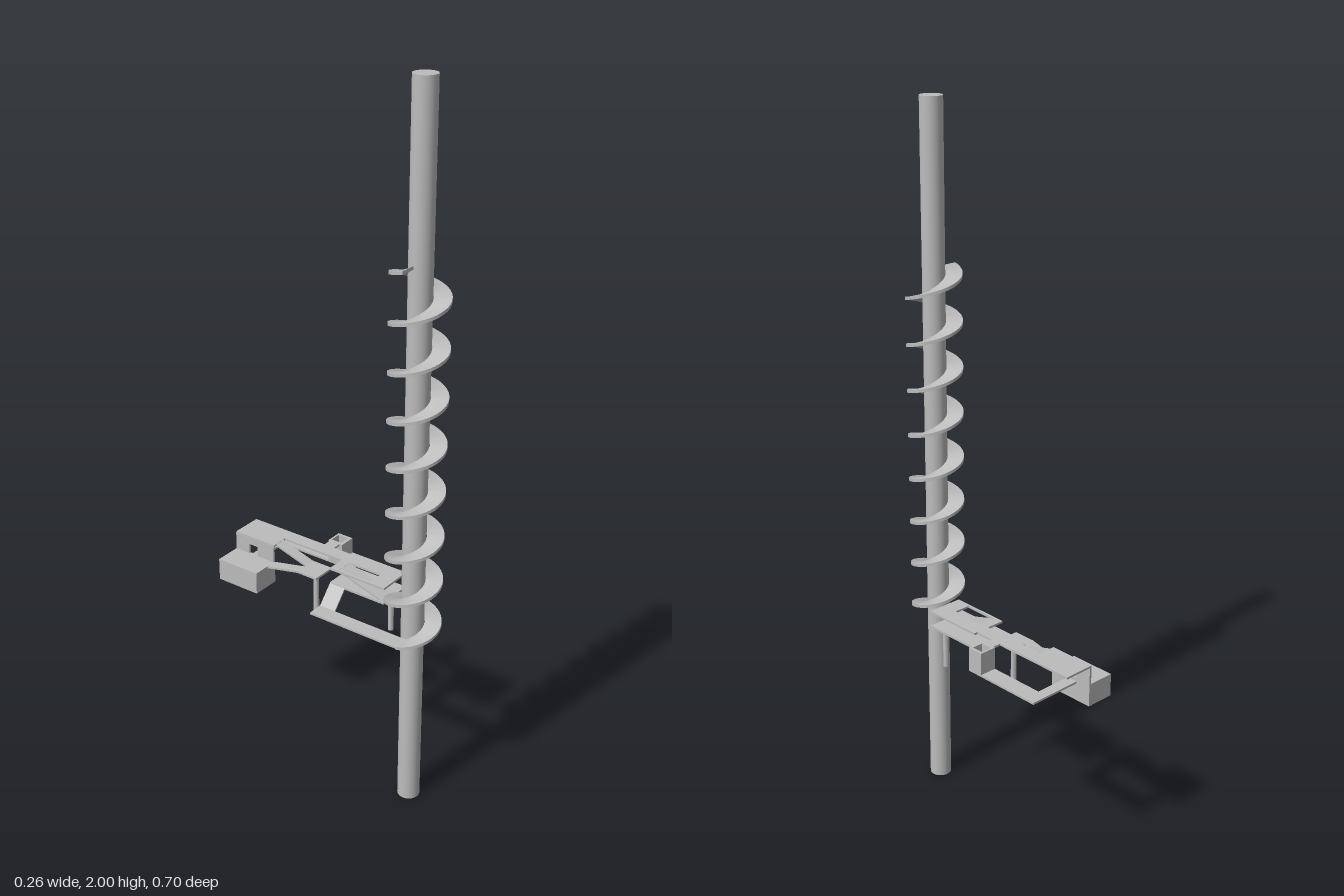
import * as THREE from 'three';
import { toCreasedNormals } from 'three/addons/utils/BufferGeometryUtils.js';

const T = 0.006; // slab thickness

export function createModel() {
  const model = new THREE.Group();
  model.name = 'spiralTower';
  const grey = new THREE.MeshStandardMaterial({ color: 0xbcbcbc });
  grey.name = 'concrete grey';

  const add = (name, geometry) => {
    const mesh = new THREE.Mesh(geometry, grey);
    mesh.name = name;
    model.add(mesh);
    return mesh;
  };

  const box = (name, x0, x1, y0, y1, z0, z1) => {
    const g = new THREE.BoxGeometry(x1 - x0, y1 - y0, z1 - z0);
    g.translate((x0 + x1) / 2, (y0 + y1) / 2, (z0 + z1) / 2);
    return add(name, g);
  };

  // Slab whose top surface lies at height y
  const slab = (name, x0, x1, z0, z1, y) => box(name, x0, x1, y - T, y, z0, z1);

  // Sheared slab: top goes from ya to yb along the chosen axis
  const ramp = (name, x0, x1, z0, z1, ya, yb, axis) => {
    const g = new THREE.BoxGeometry(x1 - x0, T, z1 - z0);
    g.translate((x0 + x1) / 2, -T / 2, (z0 + z1) / 2);
    const p = g.attributes.position;
    for (let i = 0; i < p.count; i++) {
      const f = axis === 'x' ? (p.getX(i) - x0) / (x1 - x0) : (p.getZ(i) - z0) / (z1 - z0);
      p.setY(i, p.getY(i) + ya + (yb - ya) * f);
    }
    g.computeVertexNormals();
    return add(name, g);
  };

  // Rectangle outline as a Shape or Path
  const rect = (Type, a0, a1, b0, b1) => {
    const s = new Type();
    s.moveTo(a0, b0);
    s.lineTo(a1, b0);
    s.lineTo(a1, b1);
    s.lineTo(a0, b1);
    s.closePath();
    return s;
  };

  // Horizontal frame with a rectangular opening; arrays are [x0, x1, z0, z1]
  const frame = (name, o, h, y0, y1) => {
    const s = rect(THREE.Shape, o[0], o[1], -o[3], -o[2]);
    s.holes.push(rect(THREE.Path, h[0], h[1], -h[3], -h[2]));
    const g = new THREE.ExtrudeGeometry(s, { depth: y1 - y0, bevelEnabled: false });
    g.rotateX(-Math.PI / 2).translate(0, y0, 0);
    return add(name, g);
  };

  // Central pole
  const cx = -0.053, cz = 0.272;
  add('pole', new THREE.CylinderGeometry(0.031, 0.031, 2, 32).translate(cx, 1, cz));

  // Spiral walkway: a rectangular section swept up around the pole
  const turns = 8, perTurn = 40, n = turns * perTurn, y0 = 0.514, rise = 1.034;
  const section = [[0.032, 0], [0.077, 0], [0.077, 0.009], [0.032, 0.009]];
  const pos = [], idx = [];
  for (let i = 0; i <= n; i++) {
    const t = (i / perTurn) * Math.PI * 2;
    for (const [r, h] of section) {
      pos.push(cx - r * Math.cos(t), y0 + (rise * i) / n + h, cz + r * Math.sin(t));
    }
    if (i === n) continue;
    for (let k = 0; k < 4; k++) {
      const a = i * 4 + k, b = i * 4 + ((k + 1) % 4);
      idx.push(a, a + 4, b, b, a + 4, b + 4);
    }
  }
  const e = n * 4;
  idx.push(0, 1, 2, 0, 2, 3, e, e + 2, e + 1, e, e + 3, e + 2);
  const spiral = new THREE.BufferGeometry();
  spiral.setAttribute('position', new THREE.Float32BufferAttribute(pos, 3));
  spiral.setIndex(idx);
  spiral.computeVertexNormals();
  add('spiralWalkway', toCreasedNormals(spiral, 0.6));

  // Entry path from the foot of the spiral, then a ramp up to the lower deck
  slab('entryPath', -0.13, -0.085, -0.01, 0.272, 0.523);
  ramp('entryRamp', -0.085, -0.038, -0.01, 0.04, 0.523, 0.575, 'x');

  // Lower deck, ramp through the stairwell, upper deck
  slab('lowerDeck', -0.04, 0.065, -0.01, 0.17, 0.575);
  ramp('deckRamp', -0.035, 0.015, 0.015, 0.165, 0.62, 0.575, 'z');
  frame('upperDeck', [-0.04, 0.065, -0.01, 0.17], [-0.033, 0.015, 0.016, 0.121], 0.62 - T, 0.62);

  // Long bridge and rear deck
  slab('bridge', 0.015, 0.055, -0.21, -0.01, 0.62);
  slab('rearDeck', -0.035, 0.055, -0.348, -0.21, 0.62);

  // Rear wall with a doorway, and the block behind it
  const wall = rect(THREE.Shape, 0.212, 0.348, 0.5, 0.616);
  wall.holes.push(rect(THREE.Path, 0.27, 0.3, 0.565, 0.595));
  const wallGeometry = new THREE.ExtrudeGeometry(wall, { depth: T, bevelEnabled: false });
  wallGeometry.rotateY(Math.PI / 2).translate(-0.036, 0, 0);
  add('rearWall', wallGeometry);
  box('rearBlock', -0.113, -0.034, 0.5, 0.565, -0.348, -0.212);

  // Side walkway, its links and the hollow shaft
  slab('sideWalkway', 0.08, 0.13, -0.302, -0.058, 0.556);
  slab('doorLink', -0.032, 0.08, -0.302, -0.27, 0.556);
  slab('shaftLink', 0.055, 0.08, -0.1, -0.067, 0.62);
  frame('shaft', [0.08, 0.13, -0.106, -0.058], [0.089, 0.122, -0.1, -0.066], 0.55, 0.62);

  // Middle landing with one ramp down to the block and one up to the rear deck
  slab('middleLanding', -0.064, 0.007, -0.105, -0.039, 0.588);
  ramp('rampDown', -0.064, -0.032, -0.213, -0.105, 0.565, 0.588, 'z');
  ramp('rampUp', -0.025, 0.007, -0.213, -0.105, 0.62, 0.588, 'z');

  // Posts with flared heads
  const post = (name, x, z, bottom, top) => {
    const profile = [[0, bottom], [0.008, bottom], [0.008, top - 0.018], [0.022, top - 0.004], [0.022, top], [0, top]];
    const g = new THREE.LatheGeometry(profile.map(([r, y]) => new THREE.Vector2(r, y)), 16);
    add(name, toCreasedNormals(g.translate(x, 0, z), 0.5));
  };
  post('lowerDeckPost', 0.032, 0.145, 0.445, 0.57);
  post('middleLandingPost', -0.029, -0.066, 0.457, 0.583);

  return model;
}
